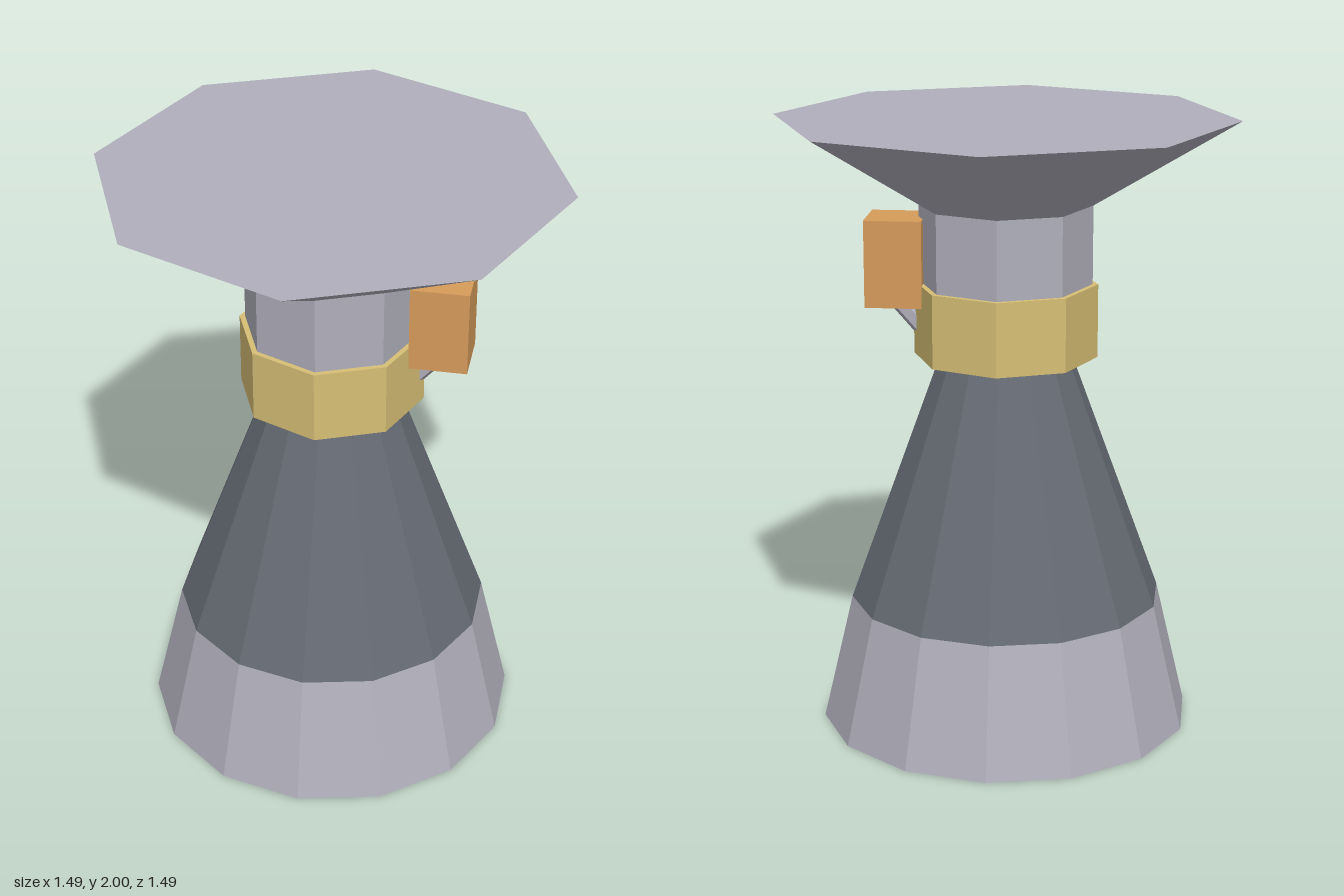
import * as THREE from 'three';

const mat = (name, color) => new THREE.MeshStandardMaterial({ name, color });

// Faceted copy of a geometry: every face gets its own normals
function faceted(geometry) {
  const g = geometry.toNonIndexed();
  g.computeVertexNormals();
  return g;
}

// Faceted turned part; profile is [radius, y] from bottom to top
function turned(name, profile, sides, material) {
  const points = profile.map(([r, y]) => new THREE.Vector2(r, y));
  const mesh = new THREE.Mesh(faceted(new THREE.LatheGeometry(points, sides)), material);
  mesh.name = name;
  return mesh;
}

export function createModel() {
  const lightMetal = mat('light metal', 0xb0afbb);
  const darkMetal = mat('dark metal', 0x666b74);
  const brass = mat('brass', 0xd6bf75);
  const copper = mat('copper', 0xd69c5b);

  const model = new THREE.Group();
  model.name = 'engine';

  // Bell: pale skirt with closed base, dark upper cone
  model.add(turned('nozzleSkirt', [[0, 0], [0.61, 0], [0.511, 0.42]], 14, lightMetal));
  model.add(turned('nozzleCone', [[0.511, 0.42], [0.213, 1.235]], 14, darkMetal));

  // Collar ring around the throat
  model.add(turned('collar', [[0, 1.23], [0.298, 1.23], [0.298, 1.47], [0.27, 1.47]], 8, brass));

  // Neck and flared mounting plate
  model.add(turned('neck', [[0.28, 1.46], [0.28, 1.725]], 8, lightMetal));
  model.add(turned('mountFlare', [[0.28, 1.725], [0.743, 2], [0, 2]], 8, lightMetal));

  // Side pump box
  const pump = new THREE.Mesh(new THREE.BoxGeometry(0.185, 0.283, 0.185), copper);
  pump.name = 'pumpBox';
  pump.position.set(0.352, 1.538, 0);
  model.add(pump);

  // Slanted pipe from the pump to the bell
  const from = new THREE.Vector3(0.172, 1.208, 0);
  const to = new THREE.Vector3(0.355, 1.415, 0);
  const pipeGeo = new THREE.CylinderGeometry(0.032, 0.032, from.distanceTo(to), 6);
  pipeGeo.rotateY(Math.PI / 2);
  const pipe = new THREE.Mesh(faceted(pipeGeo), lightMetal);
  pipe.name = 'feedPipe';
  pipe.position.copy(from).lerp(to, 0.5);
  pipe.quaternion.setFromUnitVectors(new THREE.Vector3(0, 1, 0), to.clone().sub(from).normalize());
  model.add(pipe);

  return model;
}
